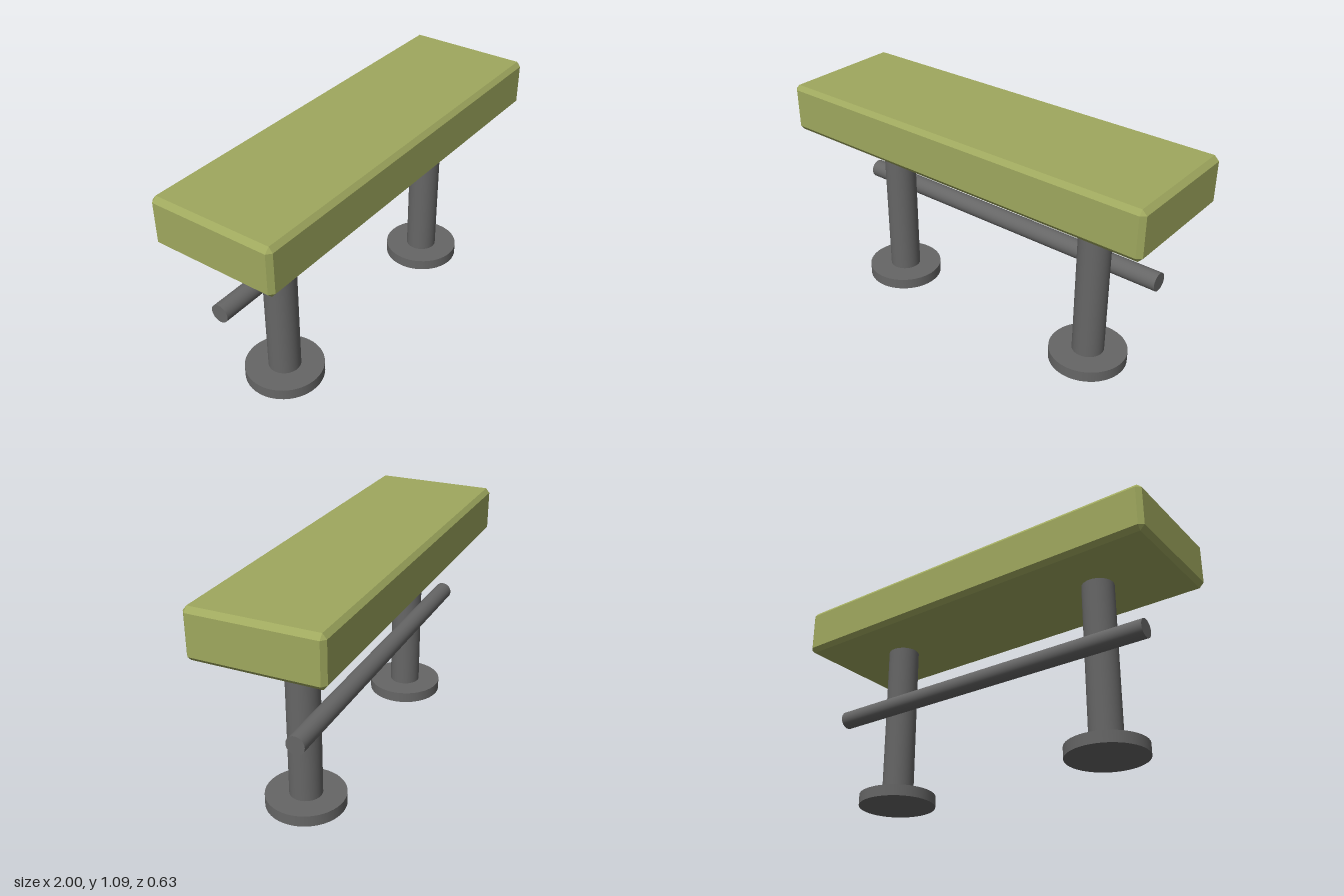
import * as THREE from 'three';
import { ConvexGeometry } from 'three/addons/geometries/ConvexGeometry.js';

const seatMaterial = new THREE.MeshStandardMaterial({ color: 0x9fa85e });
const metalMaterial = new THREE.MeshStandardMaterial({ color: 0x666666 });

// Box with every edge chamfered; the inner sizes give the extent of the flat faces
function chamferedBox(outer, inner) {
  const points = [];
  for (const x of [-1, 1]) for (const y of [-1, 1]) for (const z of [-1, 1]) {
    const corner = new THREE.Vector3(x, y, z);
    for (let axis = 0; axis < 3; axis++) {
      const p = corner.clone().multiply(inner);
      p.setComponent(axis, corner.getComponent(axis) * outer.getComponent(axis));
      points.push(p);
    }
  }
  return new ConvexGeometry(points);
}

function addCylinder(parent, name, radius, bottom, top) {
  const mesh = new THREE.Mesh(new THREE.CylinderGeometry(radius, radius, top - bottom, 48), metalMaterial);
  mesh.position.y = (top + bottom) / 2;
  mesh.name = name;
  parent.add(mesh);
  return mesh;
}

export function createModel() {
  const bench = new THREE.Group();
  bench.name = 'bench';

  // Thick seat slab with small chamfers
  const seat = new THREE.Mesh(
    chamferedBox(new THREE.Vector3(1, 0.119, 0.313), new THREE.Vector3(0.977, 0.096, 0.294)),
    seatMaterial
  );
  seat.name = 'seat';
  seat.position.y = 0.968;
  bench.add(seat);

  // Two round pedestal legs on disc feet
  for (const side of [1, -1]) {
    const leg = new THREE.Group();
    leg.name = side > 0 ? 'leftLeg' : 'rightLeg';
    leg.position.x = side * 0.6;
    addCylinder(leg, 'foot', 0.19, 0, 0.055);
    addCylinder(leg, 'post', 0.078, 0.055, 0.85);
    bench.add(leg);
  }

  // Horizontal rail fixed behind the posts
  const rail = addCylinder(bench, 'rearRail', 0.045, -0.88, 0.88);
  rail.rotation.z = Math.PI / 2;
  rail.position.set(0, 0.495, -0.108);

  return bench;
}
